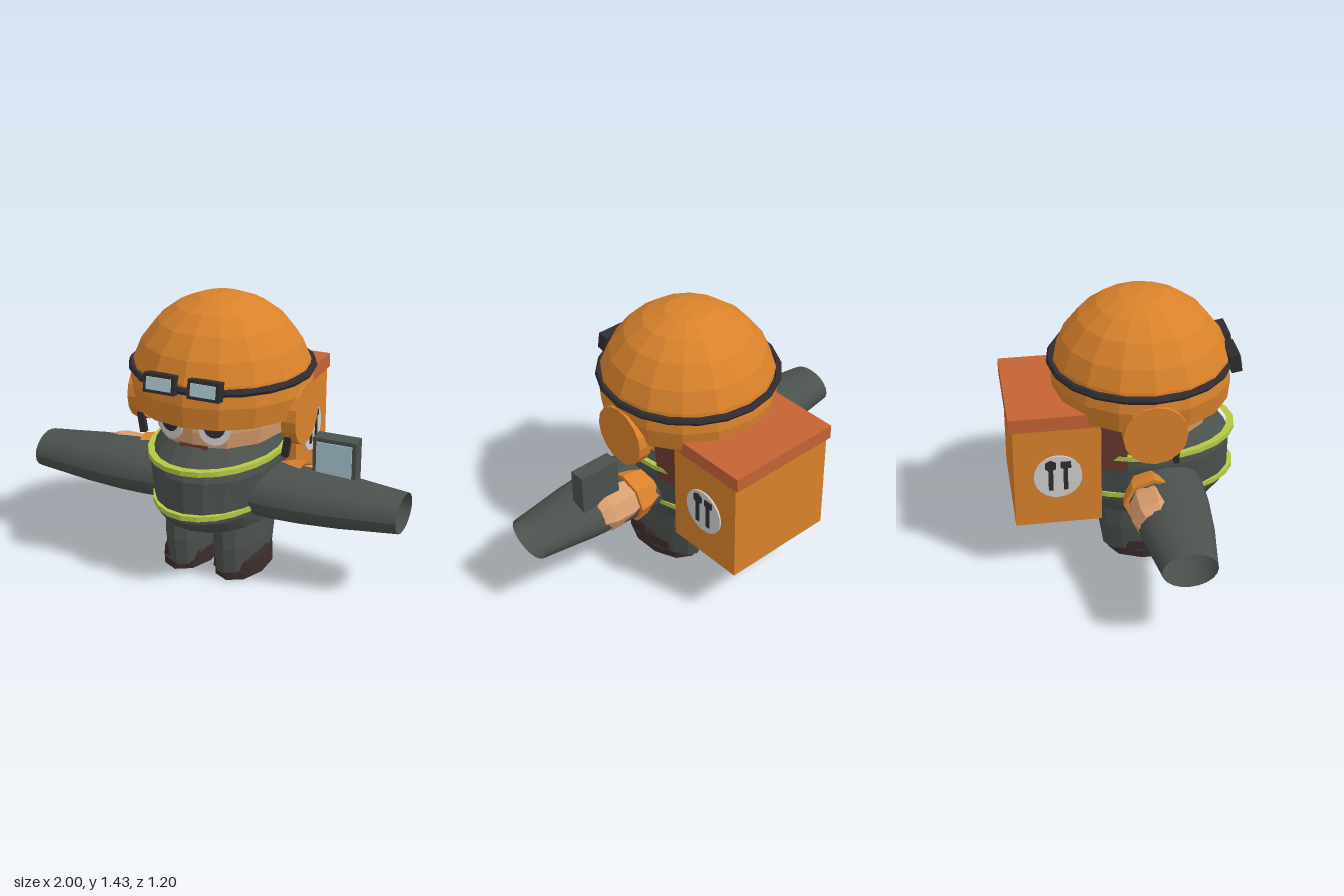
import * as THREE from 'three';

const paint = (name, color, side = THREE.FrontSide) => {
  const m = new THREE.MeshStandardMaterial({ color, side });
  m.name = name;
  return m;
};

// Faceted copy of a geometry
const facet = (g) => {
  const f = g.index ? g.toNonIndexed() : g;
  f.computeVertexNormals();
  return f;
};

// Stack of elliptical rings [y, rx, rz], listed from the bottom up
function stack(rings, sides, flat = true) {
  const g = new THREE.LatheGeometry(rings.map(([y, rx]) => new THREE.Vector2(rx, y)), sides);
  const p = g.attributes.position;
  for (let k = 0; k < p.count; k++) {
    const [, rx, rz] = rings[k % rings.length];
    if (rx > 0) p.setZ(k, p.getZ(k) * rz / rx);
  }
  g.computeVertexNormals();
  return flat ? facet(g) : g;
}

export function createModel() {
  const model = new THREE.Group();
  model.name = 'courier';
  const orange = paint('orange', 0xd9822b, THREE.DoubleSide);
  const rust = paint('rust', 0xc56234);
  const grey = paint('slate grey', 0x4b514d, THREE.DoubleSide);
  const bootBrown = paint('boot brown', 0x3a2c2c);
  const hairBrown = paint('hair brown', 0x6d3b2f, THREE.DoubleSide);
  const skin = paint('skin', 0xd99f6f);
  const lime = paint('lime', 0xb4c844);
  const glass = paint('glass', 0xa9c8d4);
  const white = paint('white', 0xcfcfcf);
  const black = paint('black', 0x302c2f);

  const add = (name, geo, mat, x = 0, y = 0, z = 0, parent = model) => {
    const m = new THREE.Mesh(geo, mat);
    m.name = name;
    m.position.set(x, y, z);
    parent.add(m);
    return m;
  };
  const box = (w, h, d) => new THREE.BoxGeometry(w, h, d);

  // Torso with two reflective bands
  add('torso', stack([
    [0.3, 0, 0], [0.3, 0.285, 0.36], [0.38, 0.3, 0.445], [0.6, 0.33, 0.445],
    [0.66, 0.325, 0.42], [0.74, 0.28, 0.33], [0.74, 0, 0],
  ], 20), grey, 0, 0, 0.13);
  for (const [y, rx] of [[0.42, 0.31], [0.66, 0.34]]) {
    add('reflectiveBand', stack([
      [y - 0.013, rx - 0.03, 0.43], [y - 0.013, rx, 0.47], [y + 0.013, rx, 0.47], [y + 0.013, rx - 0.03, 0.43],
    ], 24), lime, 0, 0, 0.13);
  }

  // Head under the helmet
  add('head', stack([
    [0.69, 0, 0], [0.7, 0.26, 0.28], [0.74, 0.32, 0.35], [0.82, 0.335, 0.365], [1, 0.34, 0.37], [1.05, 0, 0],
  ], 12), skin, 0, 0, 0.1);
  add('mouth', box(0.15, 0.018, 0.01), hairBrown, 0, 0.745, 0.448);

  // Hair at the nape
  const hair = new THREE.CylinderGeometry(0.34, 0.31, 0.31, 8, 1, true, Math.PI / 2, Math.PI);
  add('hair', facet(hair), hairBrown, 0, 0.74, -0.01);

  // Helmet dome, cut off flat above the eyes
  const dome = [[0.88, 0.44, 0.45], [0.99, 0.46, 0.46]];
  for (const a of [0.28, 0.52, 0.8, 1.06, 1.32, Math.PI / 2]) {
    const r = a > 1.57 ? 0 : 0.462 * Math.cos(a);
    dome.push([0.972 + 0.462 * Math.sin(a), r, r]);
  }
  add('helmet', stack(dome, 16), orange, 0, 0, 0.107);
  const strap = add('goggleStrap', facet(new THREE.TorusGeometry(0.455, 0.02, 6, 20)), black, 0, 1.07, 0.1);
  strap.rotation.x = Math.PI / 2;

  // Backpack crate
  add('crate', box(0.62, 0.56, 0.44), orange, 0, 0.587, -0.36);
  add('crateLid', box(0.636, 0.075, 0.475), rust, 0, 0.898, -0.362);

  // Handheld tablet
  add('tablet', box(0.225, 0.365, 0.085), grey, 0.622, 0.583, 0.107);
  add('tabletScreen', box(0.185, 0.32, 0.006), glass, 0.622, 0.585, 0.152);

  for (const s of [1, -1]) {
    const side = s > 0 ? 'left' : 'right';

    // Eye
    const eye = new THREE.Group();
    eye.name = side + 'Eye';
    eye.position.set(s * 0.118, 0.848, 0.455);
    eye.rotation.y = s * 0.3;
    model.add(eye);
    const white1 = add('eyeWhite', new THREE.CylinderGeometry(0.078, 0.078, 0.008, 16), white, 0, 0, 0, eye);
    white1.rotation.x = Math.PI / 2;
    const pupil = add('pupil', new THREE.CylinderGeometry(0.052, 0.052, 0.008, 14), black, 0, 0.015, 0.006, eye);
    pupil.rotation.x = Math.PI / 2;

    // Goggle
    const goggle = new THREE.Group();
    goggle.name = side + 'Goggle';
    goggle.position.set(s * 0.116, 1.09, 0.553);
    goggle.rotation.x = -0.17;
    model.add(goggle);
    add('goggleFrame', box(0.165, 0.095, 0.055), black, 0, 0, 0, goggle);
    add('goggleLens', box(0.13, 0.062, 0.008), glass, 0, 0, 0.03, goggle);

    // Ear cup with a small clip below
    const cup = add(side + 'EarCup', facet(new THREE.CylinderGeometry(0.16, 0.16, 0.075, 16)), orange, s * 0.422, 0.87, 0.107);
    cup.rotation.z = Math.PI / 2;
    const clip = add(side + 'EarClip', box(0.035, 0.12, 0.026), black, s * 0.4, 0.73, 0.222);
    clip.rotation.z = -s * 0.15;

    // Hollow sleeve
    const sleeve = add(side + 'Sleeve', stack([
      [0.24, 0.13, 0.19], [0.36, 0.132, 0.2], [0.5, 0.13, 0.198], [0.7, 0.12, 0.18], [0.85, 0.107, 0.157], [1, 0.095, 0.135],
    ], 20, false), grey, 0, 0.46, 0.18);
    sleeve.rotation.z = -s * Math.PI / 2;

    // Cuff and fist
    const cuff = add(side + 'Cuff', stack([
      [0.29, 0.1, 0.11], [0.38, 0.125, 0.145], [0.45, 0.135, 0.155], [0.45, 0.115, 0.135], [0.4, 0.105, 0.125],
    ], 8), orange, 0, 0.475, 0.105);
    cuff.rotation.z = -s * Math.PI / 2;
    const hand = add(side + 'Hand', stack([
      [0.38, 0, 0], [0.38, 0.09, 0.1], [0.48, 0.11, 0.13], [0.6, 0.115, 0.13], [0.655, 0.09, 0.105], [0.655, 0, 0],
    ], 8), skin, 0, 0.475, 0.1);
    hand.rotation.z = -s * Math.PI / 2;

    // Leg
    add(side + 'Leg', stack([
      [0.03, 0, 0], [0.03, 0.118, 0.245], [0.18, 0.13, 0.268], [0.32, 0.128, 0.262],
    ], 14), grey, s * 0.135, 0, 0.135);

    // Boot: octagonal sole and low upper
    add(side + 'Sole', stack([
      [0, 0, 0], [0, 0.135, 0.235], [0.04, 0.135, 0.235], [0.04, 0, 0],
    ], 10), bootBrown, s * 0.145, 0.002, 0.15);
    add(side + 'Boot', stack([
      [0.03, 0.142, 0.22], [0.09, 0.138, 0.21], [0.115, 0.125, 0.18], [0.115, 0, 0],
    ], 8), bootBrown, s * 0.142, 0, 0.158);

    // Round crate badge with two tools
    const badge = new THREE.Group();
    badge.name = side + 'Badge';
    badge.position.set(s * 0.313, 0.59, -0.36);
    badge.rotation.y = s * Math.PI / 2;
    model.add(badge);
    const disc = add('badgeDisc', new THREE.CylinderGeometry(0.122, 0.122, 0.009, 24), white, 0, 0, 0.002, badge);
    disc.rotation.x = Math.PI / 2;
    add('wrenchHandle', box(0.024, 0.14, 0.008), black, -0.037, -0.005, 0.009, badge);
    const head = add('wrenchHead', new THREE.CylinderGeometry(0.032, 0.032, 0.008, 6), black, -0.037, 0.068, 0.009, badge);
    head.rotation.x = Math.PI / 2;
    add('hammerHandle', box(0.022, 0.14, 0.008), black, 0.038, -0.005, 0.009, badge);
    add('hammerHead', box(0.052, 0.036, 0.008), black, 0.04, 0.07, 0.009, badge);
  }
  return model;
}
